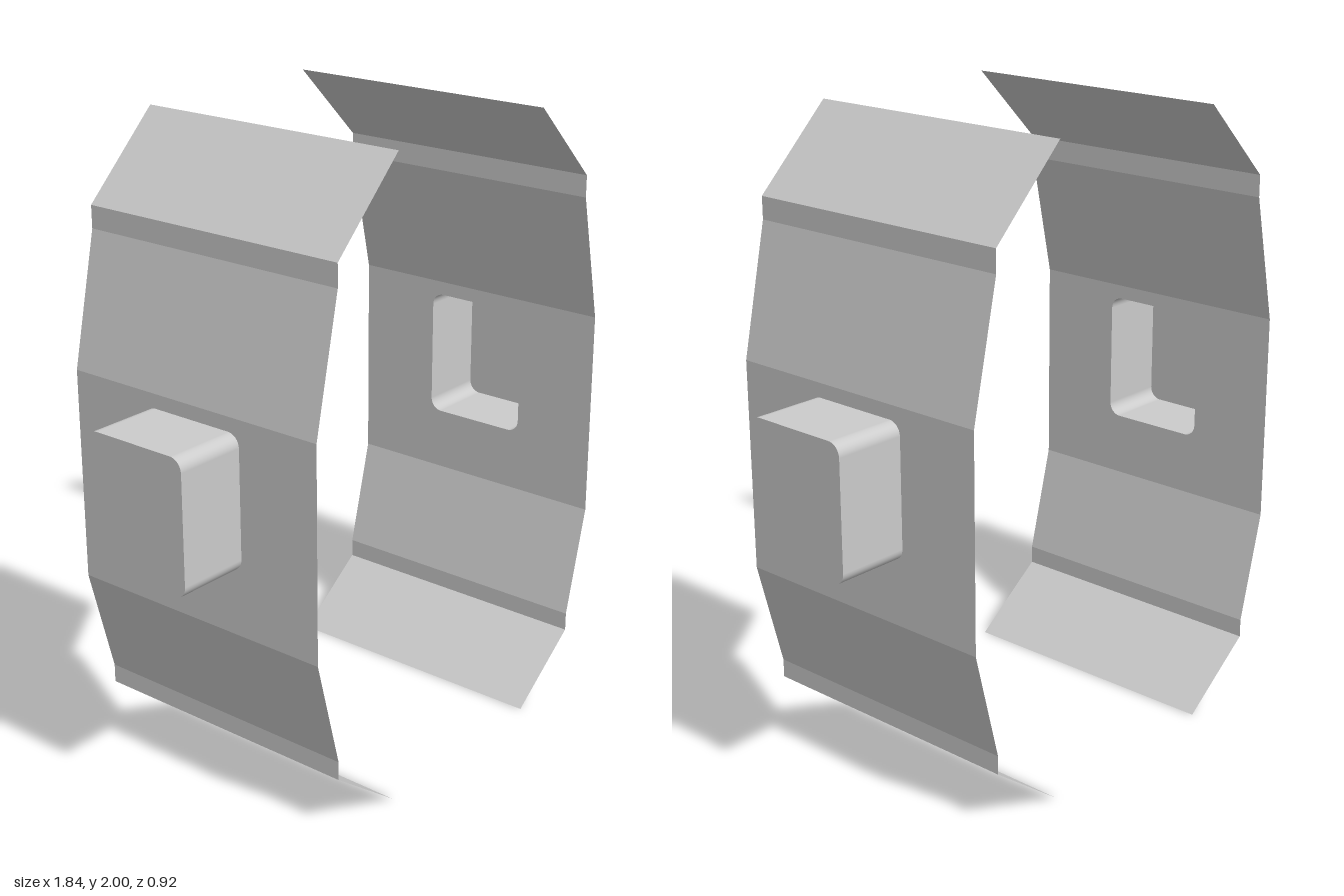
import * as THREE from 'three';

const material = new THREE.MeshStandardMaterial({ color: 0xcccccc, side: THREE.DoubleSide });

// Side pieces are modelled facing +z, then turned outwards.
const HALF_WIDTH = 0.46;
const FACE = 0.69;   // distance of the flat middle panel from the centre
const DEPTH = 0.23;  // how far the box sticks out

// Fold lines of the sheet, bottom to top: [distance from centre, height]
const profile = [
  [0.345, 0], [0.6, 0.19], [0.6, 0.25], [FACE, 0.6],
  [FACE, 1.27], [0.6, 1.68], [0.6, 1.75], [0.345, 2],
];
const MIDDLE = 3;

// Rounded rectangle outline, counterclockwise, with outward normals
function roundedOutline(halfW, halfH, cy, r, steps = 8) {
  const outline = [];
  [[1, 1], [-1, 1], [-1, -1], [1, -1]].forEach(([sx, sy], corner) => {
    for (let i = 0; i <= steps; i++) {
      const a = (corner + i / steps) * Math.PI / 2;
      const normal = new THREE.Vector2(Math.cos(a), Math.sin(a));
      const point = new THREE.Vector2(sx * (halfW - r), cy + sy * (halfH - r)).addScaledVector(normal, r);
      outline.push({ point, normal });
    }
  });
  return outline;
}

// Folded panels of the sheet, leaving out the middle one
function foldedPanels() {
  const positions = [];
  for (let i = 0; i < profile.length - 1; i++) {
    if (i === MIDDLE) continue;
    const [d0, y0] = profile[i], [d1, y1] = profile[i + 1], w = HALF_WIDTH;
    positions.push(-w, y0, d0, w, y0, d0, w, y1, d1, -w, y0, d0, w, y1, d1, -w, y1, d1);
  }
  const geometry = new THREE.BufferGeometry();
  geometry.setAttribute('position', new THREE.Float32BufferAttribute(positions, 3));
  geometry.computeVertexNormals();
  return geometry;
}

// Flat middle panel with the box opening
function middlePanel(outline) {
  const y0 = profile[MIDDLE][1], y1 = profile[MIDDLE + 1][1], w = HALF_WIDTH;
  const shape = new THREE.Shape([[-w, y0], [w, y0], [w, y1], [-w, y1]].map(p => new THREE.Vector2(...p)));
  shape.holes.push(new THREE.Path(outline.map(o => o.point)));
  return new THREE.ShapeGeometry(shape).translate(0, 0, FACE);
}

// Smooth wall running round the outline
function boxWall(outline) {
  const positions = [], normals = [], index = [], n = outline.length;
  outline.forEach(({ point, normal }, i) => {
    for (const z of [FACE, FACE + DEPTH]) {
      positions.push(point.x, point.y, z);
      normals.push(normal.x, normal.y, 0);
    }
    const a = 2 * i, b = 2 * ((i + 1) % n);
    index.push(a, b, b + 1, a, b + 1, a + 1);
  });
  const geometry = new THREE.BufferGeometry();
  geometry.setAttribute('position', new THREE.Float32BufferAttribute(positions, 3));
  geometry.setAttribute('normal', new THREE.Float32BufferAttribute(normals, 3));
  geometry.setIndex(index);
  return geometry;
}

function createSide(name, angle) {
  const side = new THREE.Group();
  side.name = name;
  const add = (partName, geometry) => {
    const mesh = new THREE.Mesh(geometry, material);
    mesh.name = partName;
    side.add(mesh);
  };
  const outline = roundedOutline(0.18, 0.21, 1.015, 0.04);
  const cap = new THREE.ShapeGeometry(new THREE.Shape(outline.map(o => o.point)));
  add('foldedPanels', foldedPanels());
  add('middlePanel', middlePanel(outline));
  add('boxWall', boxWall(outline));
  add('boxCap', cap.translate(0, 0, FACE + DEPTH));
  side.rotation.y = angle;
  return side;
}

export function createModel() {
  const model = new THREE.Group();
  model.name = 'foldedSidePlates';
  model.add(createSide('leftPlate', Math.PI / 2), createSide('rightPlate', -Math.PI / 2));
  return model;
}
